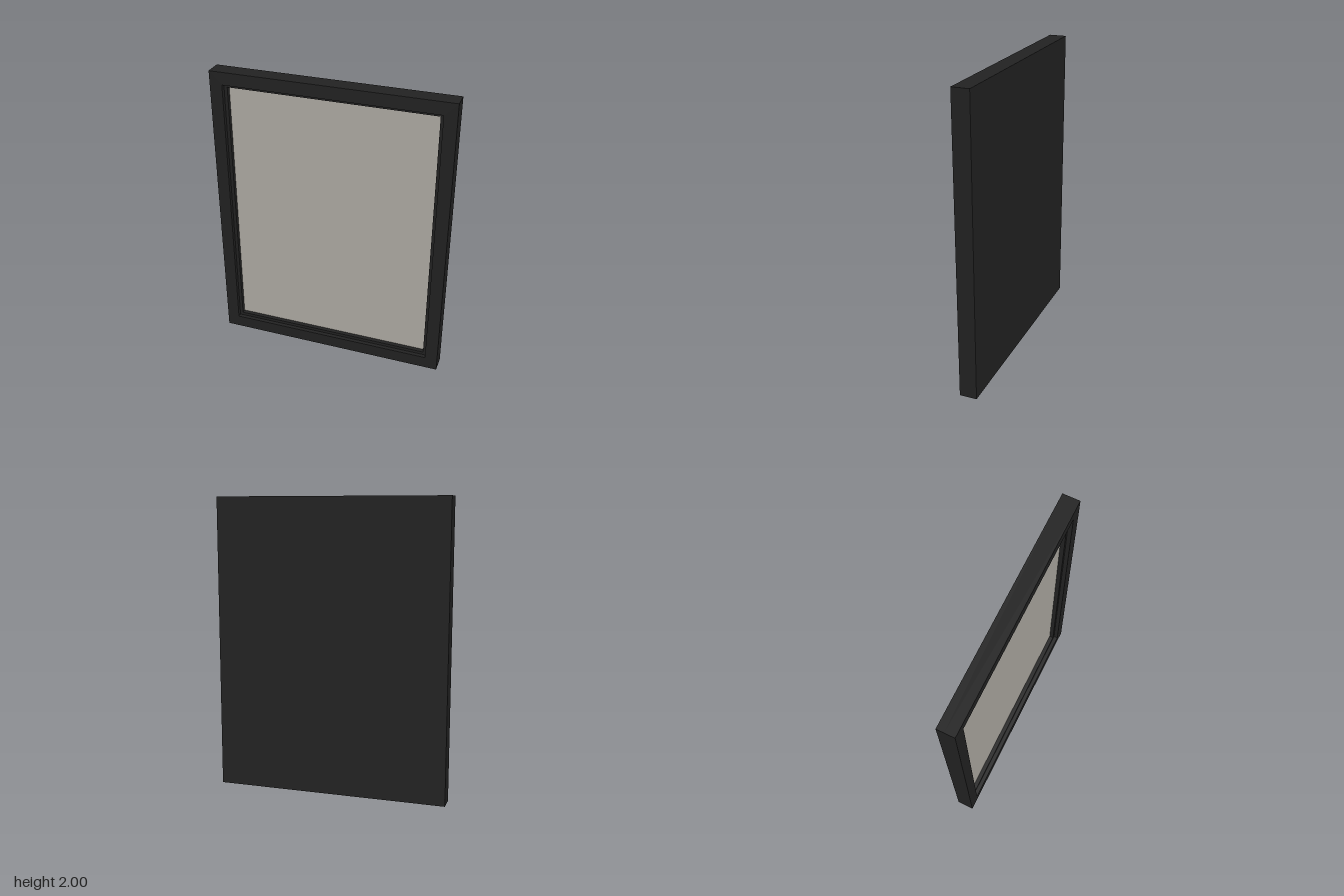
import * as THREE from 'three';

const W = 1.59, H = 2, FRONT = 0.058, BACK = -0.058;

// Rectangular ring centred on the origin, extruded from z0 to z1
function ring(w, h, border, z0, z1) {
  const rect = (T, a, b) => {
    const p = new T();
    p.moveTo(-a / 2, -b / 2);
    p.lineTo(a / 2, -b / 2);
    p.lineTo(a / 2, b / 2);
    p.lineTo(-a / 2, b / 2);
    p.closePath();
    return p;
  };
  const shape = rect(THREE.Shape, w, h);
  shape.holes.push(rect(THREE.Path, w - 2 * border, h - 2 * border));
  const geo = new THREE.ExtrudeGeometry(shape, { depth: z1 - z0, bevelEnabled: false });
  return geo.translate(0, 0, z0);
}

export function createModel() {
  const black = new THREE.MeshStandardMaterial({ name: 'frameBlack', color: 0x222222 });
  const grey = new THREE.MeshStandardMaterial({ name: 'panelWarmGrey', color: 0xb0aca4 });

  const model = new THREE.Group();
  model.name = 'pictureFrame';
  const add = (name, geo, mat) => {
    const mesh = new THREE.Mesh(geo, mat);
    mesh.name = name;
    mesh.position.y = H / 2;
    model.add(mesh);
  };

  // Solid backing board, the full outline of the frame
  const board = 0.05;
  add('backBoard', new THREE.BoxGeometry(W, H, board).translate(0, 0, BACK + board / 2), black);

  // Outer moulding and the recessed inner lip
  add('outerFrame', ring(W, H, 0.085, BACK + board, FRONT), black);
  add('innerLip', ring(W - 0.17, H - 0.17, 0.022, BACK + board, 0.03), black);

  // Picture panel set behind the lip
  add('picturePanel', new THREE.BoxGeometry(W - 0.214, H - 0.214, 0.009).translate(0, 0, -0.0035), grey);

  return model;
}
